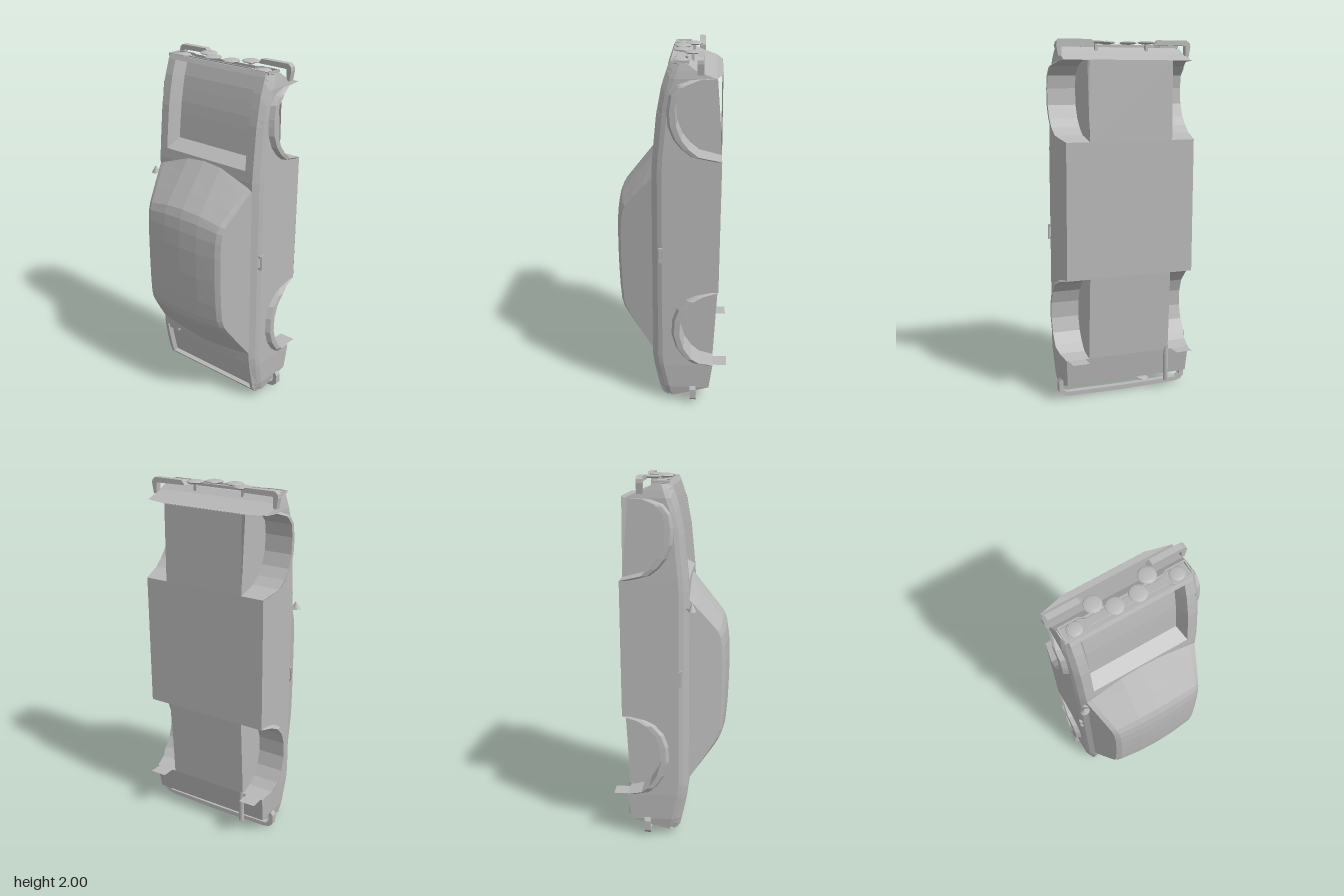
import * as THREE from 'three';

const paint = new THREE.MeshStandardMaterial({ color: 0xb8b8b8, side: THREE.DoubleSide, flatShading: true });
paint.name = 'grey paint';

// linear interpolation through [y, value] pairs
function interp(pts, y) {
  if (y <= pts[0][0]) return pts[0][1];
  for (let i = 1; i < pts.length; i++) {
    const [a, va] = pts[i - 1], [b, vb] = pts[i];
    if (y <= b) return va + (vb - va) * (y - a) / (b - a);
  }
  return pts[pts.length - 1][1];
}

// surface through rows of [x, y, z] points
function loft(rows) {
  const n = rows[0].length, idx = [];
  for (let i = 0; i < rows.length - 1; i++)
    for (let j = 0; j < n - 1; j++) {
      const a = i * n + j, b = a + n;
      idx.push(a, a + 1, b, b, a + 1, b + 1);
    }
  const g = new THREE.BufferGeometry();
  g.setAttribute('position', new THREE.Float32BufferAttribute(rows.flat(2), 3));
  g.setIndex(idx);
  g.computeVertexNormals();
  return g;
}

function extrude(points, depth) {
  const s = new THREE.Shape(points.map(p => new THREE.Vector2(p[0], p[1])));
  return new THREE.ExtrudeGeometry(s, { depth, bevelEnabled: false });
}

// profiles along the length of the car, which runs up y with its nose on top
const TOP = [[.035, .02], [.045, .038], [.07, .055], [.23, .09], [.3, .1], [1.4, .1], [1.47, .095], [1.7, .073], [1.85, .045], [1.95, .012], [1.975, 0]];
const BOTTOM = [[.035, .0], [.04, -.03], [.07, -.13], [.1, -.22], [.25, -.24], [.71, -.265], [1.46, -.27], [1.89, -.235], [1.93, -.13], [1.96, -.09], [1.975, 0]];
const WIDTH = [[.035, .35], [.1, .362], [.25, .37], [1.46, .372], [1.9, .37], [1.975, .355]];
const ARCHES = {
  front: [[1.46, -.27], [1.49, -.15], [1.53, -.1], [1.58, -.06], [1.65, -.032], [1.74, -.025], [1.81, -.035], [1.86, -.08], [1.885, -.15], [1.89, -.235]],
  rear: [[.25, -.24], [.27, -.16], [.31, -.115], [.37, -.075], [.45, -.052], [.54, -.055], [.61, -.08], [.665, -.13], [.69, -.18], [.71, -.265]],
};
const top = y => interp(TOP, y);
const wide = y => interp(WIDTH, y);
const SHOULDER = .336;
const shoulder = y => Math.min(SHOULDER, wide(y) - .012);

// lower edge of the side and the flare at height y
function lowerEdge(y) {
  for (const a of Object.values(ARCHES)) {
    const y0 = a[0][0], y1 = a[a.length - 1][0];
    if (y >= y0 && y <= y1) {
      const t = (y - y0) / (y1 - y0);
      return [interp(a, y), .029 * Math.min(1, Math.sin(Math.PI * t) * 4)];
    }
  }
  return [interp(BOTTOM, y), 0];
}

export function createModel() {
  const car = new THREE.Group();
  car.name = 'carBody';
  const add = (name, geo, parent = car) => {
    const m = new THREE.Mesh(geo, paint);
    m.name = name;
    parent.add(m);
    return m;
  };
  const half = new THREE.Group();
  half.name = 'leftSide';

  // side skin with flared wheel arches
  const ys = [...new Set([...TOP, ...BOTTOM, ...ARCHES.front, ...ARCHES.rear].map(p => p[0]))].sort((a, b) => a - b);
  add('sidePanel', loft(ys.map(y => {
    const zt = top(y), w = wide(y), [zb, fl] = lowerEdge(y);
    const h = Math.max(zt - zb, 0), s = Math.min(1, h / .1);
    return [
      [shoulder(y), y, zt], [w - .01, y, zt - .03 * s], [w, y, zt - .055 * s],
      [w, y, zb + .045 * s], [w + fl * .9, y, zb + .03 * s], [w + fl, y, zb],
    ];
  })), half);

  // wheel wells
  for (const [name, a] of Object.entries(ARCHES))
    add(name + 'WheelWell', loft(a.map(([y, z]) => {
      const x = wide(y) + lowerEdge(y)[1];
      return [[x, y, z], [.24, y, z], [.24, y, interp(BOTTOM, y)]];
    })), half);

  // rims beside the hood and trunk openings
  const rim = (name, y0, y1, xi) => {
    const rows = [];
    for (let i = 0; i <= 6; i++) {
      const y = y0 + (y1 - y0) * i / 6;
      rows.push([[xi, y, top(y)], [shoulder(y), y, top(y)]]);
    }
    add(name, loft(rows), half);
  };
  rim('hoodRim', 1.46, 1.95, .285);
  rim('trunkRim', .06, .29, .315);

  // trunk hinge pockets
  add('trunkHinge', new THREE.BoxGeometry(.075, .03, .03), half).position.set(.272, .275, .075);

  // front bumper with wrapped corner
  add('frontBumper', extrude([[.175, 1.975], [.195, 2], [.37, 2], [.388, 1.985], [.39, 1.965], [.38, 1.91], [.362, 1.915], [.36, 1.972]], .034), half)
    .position.z = -.172;
  add('rearBumper', extrude([[0, .004], [.33, .01], [.365, .018], [.387, .04], [.388, .095], [.375, .115], [.362, .1], [.362, .05], [.34, .034], [0, .03]], .035), half)
    .position.z = -.146;

  // headlight and round driving lamps
  const lamp = (name, x, y, z, r, t, parent) => {
    const m = add(name, new THREE.SphereGeometry(r, 16, 8), parent);
    m.scale.y = t / r;
    m.position.set(x, y, z);
  };
  lamp('headlight', .28, 1.97, -.05, .042, .01, half);
  lamp('outerDrivingLamp', .148, 1.988, -.11, .048, .01, half);
  lamp('innerDrivingLamp', .064, 1.988, -.05, .048, .01, half);
  add('drivingLampStem', new THREE.BoxGeometry(.015, .05, .015), half).position.set(.148, 1.96, -.11);

  // door handle: a bar on two posts
  add('doorHandle', new THREE.BoxGeometry(.008, .085, .014), half).position.set(.378, .93, .053);
  for (const y of [.895, .965])
    add('handlePost', new THREE.BoxGeometry(.02, .014, .022), half).position.set(.368, y, .053);

  // mud flap behind the rear wheel
  const flap = add('mudFlap', new THREE.PlaneGeometry(.098, .09), half);
  flap.rotation.x = Math.PI / 2;
  flap.position.set(.311, .25, -.273);

  const other = half.clone();
  other.name = 'rightSide';
  other.scale.x = -1;
  car.add(half, other);

  // full-width deck strips
  const deck = (name, list) => add(name, loft(list.map(y => [[-shoulder(y), y, top(y)], [shoulder(y), y, top(y)]])));
  deck('trunkLip', [.035, .045, .06]);
  deck('rearShelf', [.29, .3, .4]);
  deck('cowl', [1.3, 1.4, 1.46]);
  deck('noseLip', [1.95, 1.975]);

  // sunken hood and trunk trays
  const tray = (name, y0, y1, in0, in1, xt, xb, depth) => {
    const row = (y, yf, d) => [[-xt, y, top(y)], [-xb, yf, top(yf) - d], [xb, yf, top(yf) - d], [xt, y, top(y)]];
    const rows = [row(y0, y0, 0)];
    for (let i = 0; i <= 6; i++) {
      const t = i / 6;
      rows.push(row(y0 + (y1 - y0) * t, y0 + in0 + (y1 - in1 - y0 - in0) * t, depth));
    }
    rows.push(row(y1, y1, 0));
    add(name, loft(rows));
  };
  tray('engineBay', 1.46, 1.95, .05, .02, .285, .26, .075);
  tray('trunkTray', .06, .29, .008, .005, .315, .31, .03);

  // nose, tail and floor panels
  const panel = (name, list) => add(name, loft(list.map(([y, z, x]) => [[-x, y, z], [x, y, z]])));
  panel('nosePanel', [[1.975, 0, .343], [1.96, -.09, .358], [1.93, -.13, .365], [1.89, -.235, .37], [1.888, -.27, .23]]);
  panel('tailPanel', [[.035, .02, .338], [.035, 0, .35], [.04, -.03, .352], [.07, -.13, .357], [.1, -.22, .362], [.25, -.24, .37]]);
  panel('rearFloor', [[.25, -.24, .24], [.71, -.265, .24]]);
  panel('middleFloor', [[.71, -.265, .372], [1.46, -.27, .372]]);
  panel('frontFloor', [[1.46, -.27, .24], [1.89, -.268, .24]]);

  // grille surround, bordered by a narrow frame
  const outline = (xo, xi, z0, z1, step) => [[-xo, z0], [-xi - .03, z0], [-xi, z0 + step], [xi, z0 + step], [xi + .03, z0], [xo, z0],
    [xo, z1], [xi + .03, z1], [xi, z1 - step], [-xi, z1 - step], [-xi - .03, z1], [-xo, z1]];
  const grille = new THREE.Shape(outline(.35, .21, .004, .094, .016).map(p => new THREE.Vector2(...p)));
  grille.holes.push(new THREE.Path(outline(.342, .206, .011, .087, .016).map(p => new THREE.Vector2(...p))));
  const frame = add('grilleFrame', new THREE.ExtrudeGeometry(grille, { depth: .015, bevelEnabled: false }));
  frame.rotation.x = -Math.PI / 2;
  frame.position.y = 1.962;

  // cabin: windshield, roof and rear window, bowed across the width
  const stations = [[.3, .1, .04], [.4, .178, .035], [.51, .262, .03], [.55, .284, .02], [.6, .299, .01], [.7, .308, 0], [.85, .314, 0], [1, .315, 0],
    [1.1, .31, -.02], [1.17, .3, -.04], [1.22, .282, -.06], [1.3, .219, -.07], [1.38, .155, -.08], [1.45, .1, -.09]];
  add('cabin', loft(stations.map(([y, zc, bow]) => {
    const h = zc - .1, k = h / .215, ze = .1 + h * .83, xe = SHOULDER - (ze - .1) * .37;
    const side = [[SHOULDER, .1], [xe, ze], [xe - .028, zc - .02 * k], [.12, zc - .005 * k]];
    const all = [...side.map(([x, z]) => [-x, z]), [0, zc], ...side.reverse()];
    return all.map(([x, z]) => [x, y + bow * (x / .33) ** 2, z]);
  })));

  // single door mirror
  const mirror = add('doorMirror', new THREE.ConeGeometry(.028, .045, 10));
  mirror.scale.z = .8;
  mirror.position.set(-.36, 1.322, .116);
  const arm = add('mirrorArm', new THREE.BoxGeometry(.035, .012, .012));
  arm.position.set(-.34, 1.31, .1);
  arm.rotation.y = -.5;

  // rear fog lamp and exhaust pipe
  lamp('rearFogLamp', -.155, .026, -.065, .036, .008, car);
  add('exhaustPipe', new THREE.CylinderGeometry(.015, .015, .2, 8, 1, true)).position.set(-.23, .165, -.235);

  return car;
}
